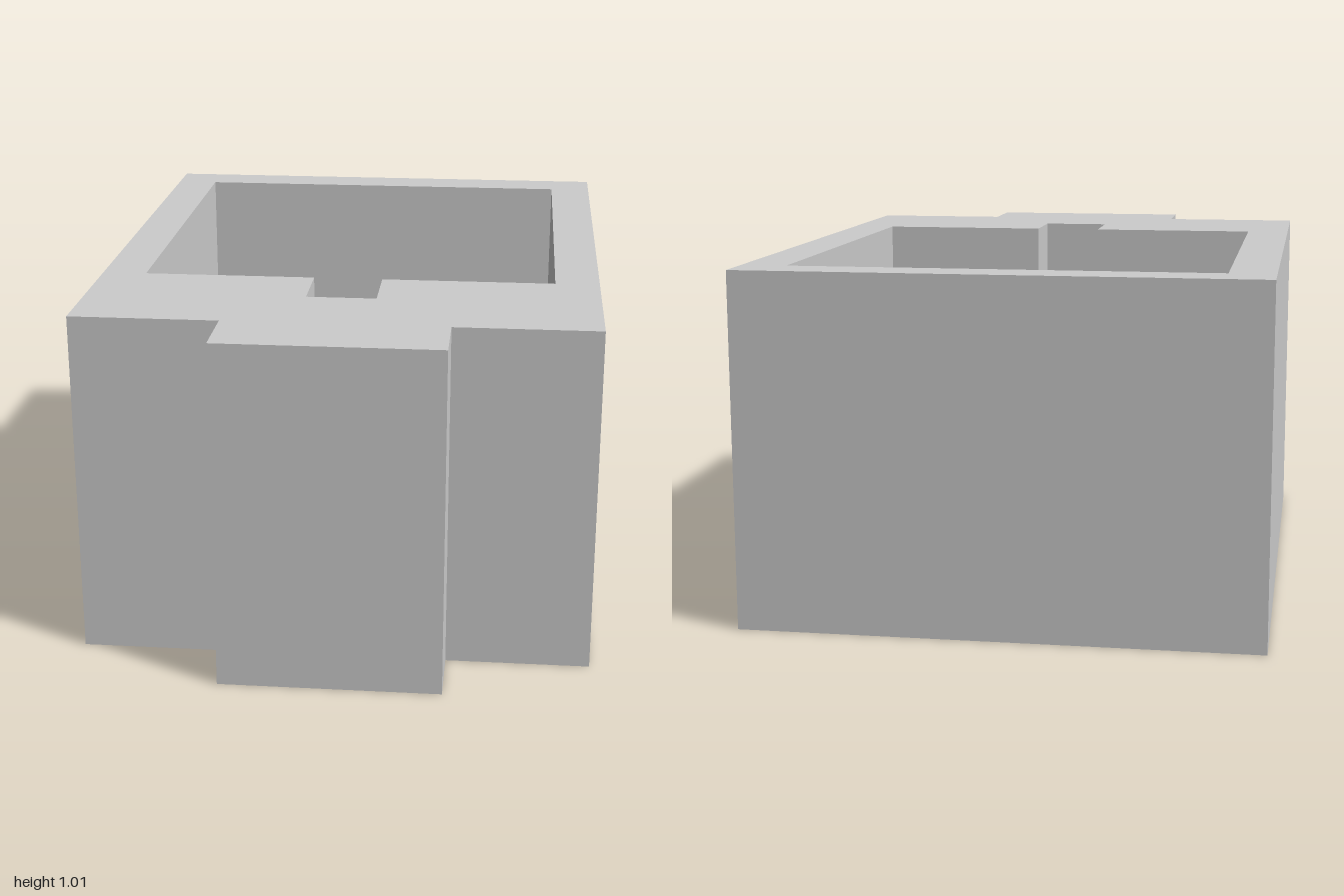
import * as THREE from 'three';

const HEIGHT = 1.015, FLOOR = 0.22, RECESS = 0.2;

// Plan outlines as [x, z], counter-clockwise seen from above
const body = [
  [-0.74, 0.8], [-0.313, 0.8], [-0.313, 1], [0.325, 1], [0.325, 0.8],
  [0.74, 0.8], [0.74, -1], [-0.74, -1],
];
const pocket = [
  [-0.61, 0.35], [-0.103, 0.35], [-0.103, 0.55], [0.1, 0.55], [0.1, 0.35],
  [0.61, 0.35], [0.61, -0.87], [-0.61, -0.87],
];
const slot = [[-0.103, 0.55], [0.1, 0.55], [0.1, 0.35], [-0.103, 0.35]];

// Flat horizontal face, facing up (+1) or down (-1), with an optional opening
function cap(outline, y, facing, opening) {
  const points = (list) => list.map(([x, z]) => new THREE.Vector2(x, -facing * z));
  const shape = new THREE.Shape(points(outline));
  if (opening) shape.holes.push(new THREE.Path(points(opening)));
  return new THREE.ShapeGeometry(shape).rotateX(-facing * Math.PI / 2).translate(0, y, 0);
}

// Vertical walls that follow an outline; reversed outlines face inward
function walls(outline, y0, y1) {
  const position = [];
  outline.forEach(([px, pz], i) => {
    const [qx, qz] = outline[(i + 1) % outline.length];
    const a = [px, y0, pz], b = [qx, y0, qz], c = [qx, y1, qz], d = [px, y1, pz];
    position.push(...a, ...b, ...c, ...a, ...c, ...d);
  });
  const geometry = new THREE.BufferGeometry();
  geometry.setAttribute('position', new THREE.Float32BufferAttribute(position, 3));
  geometry.computeVertexNormals();
  return geometry;
}

export function createModel() {
  const model = new THREE.Group();
  model.name = 'openBox';
  const material = new THREE.MeshStandardMaterial({ color: 0xcccccc, flatShading: true });
  const add = (name, geometry) => {
    const mesh = new THREE.Mesh(geometry, material);
    mesh.name = name;
    model.add(mesh);
  };
  const inward = (outline) => [...outline].reverse();

  // Outer shell with the front projection
  add('outerWalls', walls(body, 0, HEIGHT));
  add('rim', cap(body, HEIGHT, 1, pocket));
  add('underside', cap(body, 0, -1, slot));

  // Deep pocket with a notch toward the front
  add('pocketWalls', walls(inward(pocket), FLOOR, HEIGHT));
  add('pocketFloor', cap(pocket, FLOOR, 1));

  // Square recess underneath the notch
  add('recessWalls', walls(inward(slot), 0, RECESS));
  add('recessCeiling', cap(slot, RECESS, -1));

  return model;
}
